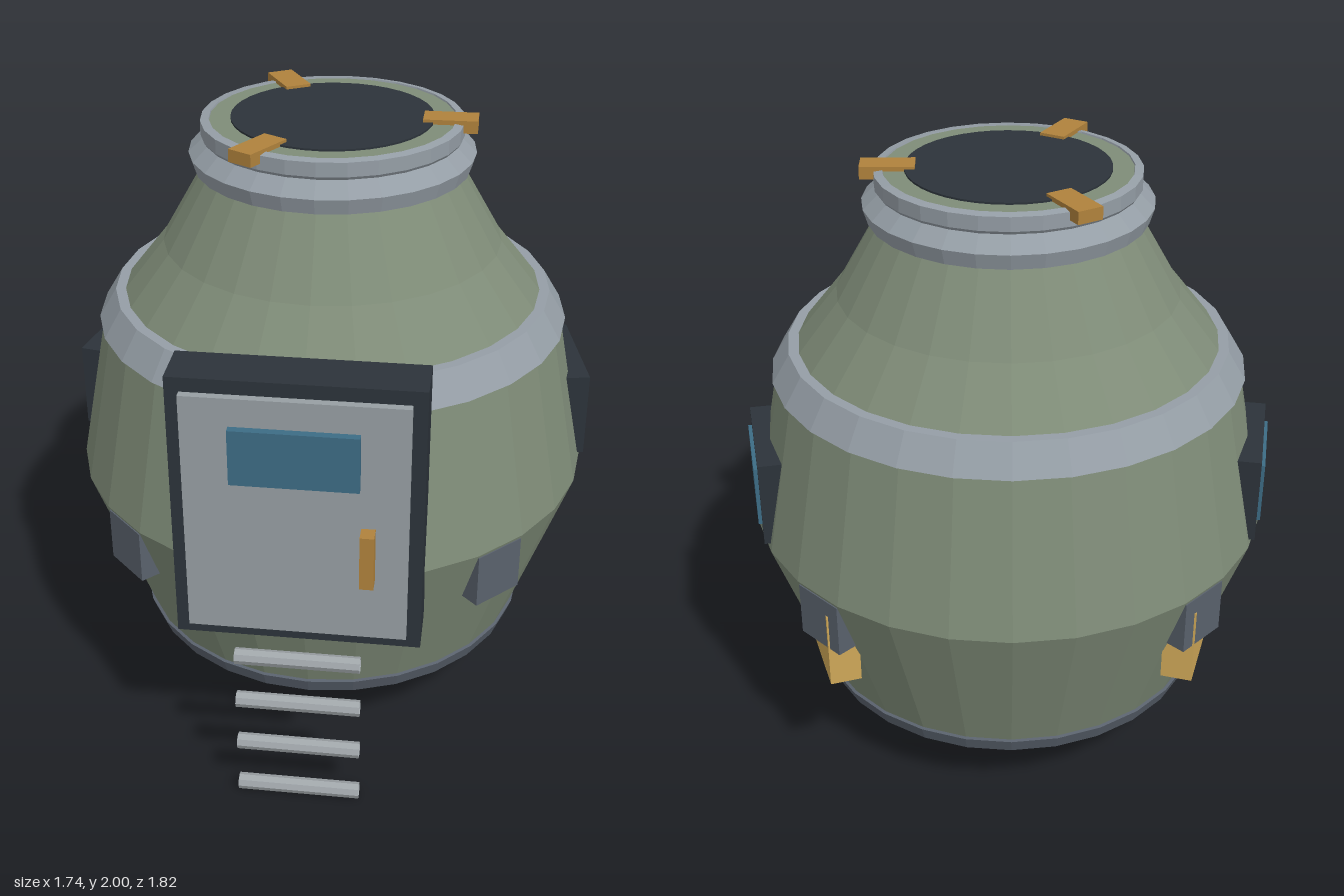
import * as THREE from 'three';

const AXIS_Z = -0.055; // centre line of the round hull
const SIDES = 28;

function paint(name, color) {
  const m = new THREE.MeshStandardMaterial({ color });
  m.name = name;
  return m;
}

export function createModel() {
  const green = paint('hull green', 0x7f8c78);
  const silver = paint('silver trim', 0x959ea6);
  const steel = paint('dark steel', 0x59616c);
  const panelGrey = paint('door grey', 0x979fa3);
  const dark = paint('charcoal', 0x2c333a);
  const glass = paint('blue glass', 0x3d6c85);
  const bronze = paint('bronze', 0xb0823c);
  const gold = paint('gold', 0xcfa858);
  const black = paint('nozzle black', 0x171b1f);
  const rungMat = paint('rung metal', 0xa0a6aa);
  rungMat.side = THREE.DoubleSide;

  const model = new THREE.Group();
  model.name = 'descentCapsule';
  const hull = new THREE.Group();
  hull.name = 'hull';
  hull.position.z = AXIS_Z;
  model.add(hull);

  function add(parent, name, geometry, material, x = 0, y = 0, z = 0, turn = 0) {
    const mesh = new THREE.Mesh(geometry, material);
    mesh.name = name;
    mesh.position.set(x, y, z);
    mesh.rotation.y = turn;
    parent.add(mesh);
    return mesh;
  }
  const box = (w, h, d) => new THREE.BoxGeometry(w, h, d);

  // Faceted surface of revolution, profile listed from bottom to top
  function turned(profile) {
    const points = profile.map(([r, y]) => new THREE.Vector2(r, y));
    const g = new THREE.LatheGeometry(points, SIDES).toNonIndexed();
    g.computeVertexNormals();
    return g;
  }

  // Round hull and its rings
  add(hull, 'body', turned([
    [0, 0.08], [0.455, 0.08], [0.645, 0.222], [0.855, 0.82], [0.755, 1.33],
    [0.548, 1.59], [0.41, 1.83], [0.395, 1.985], [0, 1.985],
  ]), green);
  add(hull, 'lowerRing', turned([
    [0.62, 0.225], [0.656, 0.225], [0.674, 0.275], [0.66, 0.28],
  ]), steel);
  add(hull, 'shoulderRing', turned([
    [0.74, 1.33], [0.77, 1.33], [0.712, 1.425], [0.66, 1.425],
  ]), silver);
  add(hull, 'neckRing', turned([
    [0.4, 1.83], [0.44, 1.835], [0.455, 1.885], [0.408, 1.93],
    [0.415, 1.94], [0.415, 1.985], [0.388, 1.99], [0.385, 1.98],
  ]), silver);
  add(hull, 'topHatch', new THREE.CylinderGeometry(0.32, 0.32, 0.03, 40), dark, 0, 1.976, 0);
  add(hull, 'bottomNozzle', new THREE.CylinderGeometry(0.2, 0.2, 0.01, 24), black, 0, 0.081, 0);

  // Three latches around the hatch
  for (let i = 0; i < 3; i++) {
    const a = (i * Math.PI * 2) / 3;
    add(hull, 'hatchLatch', box(0.17, 0.04, 0.085), bronze,
      0.37 * Math.cos(a), 1.98, -0.37 * Math.sin(a), a);
  }

  // Four thruster blocks on the diagonals
  for (let i = 0; i < 4; i++) {
    const a = Math.PI / 4 + (i * Math.PI) / 2;
    add(hull, 'thrusterBlock', box(0.16, 0.18, 0.18), steel,
      0.77 * Math.cos(a), 0.72, -0.77 * Math.sin(a), a);
  }

  // Side windows and rear fins, mirrored
  for (const side of [1, -1]) {
    const port = new THREE.Group();
    port.name = side > 0 ? 'leftWindow' : 'rightWindow';
    port.rotation.y = side > 0 ? 0.19 : Math.PI - 0.19;
    add(port, 'windowFrame', box(0.08, 0.29, 0.395), dark, 0.805, 0.985, 0);
    add(port, 'windowPane', box(0.024, 0.205, 0.295), glass, 0.845, 0.988, 0);
    hull.add(port);

    add(hull, 'rearFin', box(0.1, 0.265, 0.34), gold, side * 0.576, 0.6225, -0.4575, side * 0.294);
  }

  // Front door
  const door = new THREE.Group();
  door.name = 'door';
  add(door, 'doorFrame', box(0.75, 0.89, 0.16), dark, 0, 1.06, 0.74);
  add(door, 'doorPanel', box(0.665, 0.8, 0.04), panelGrey, 0, 1.06, 0.825);
  add(door, 'doorWindow', box(0.38, 0.18, 0.04), glass, 0, 1.28, 0.85);
  add(door, 'doorHandle', box(0.042, 0.18, 0.05), bronze, 0.216, 0.975, 0.886);
  model.add(door);

  // Ladder rungs below the door
  const rung = new THREE.CylinderGeometry(0.026, 0.026, 0.39, 8, 1, true).toNonIndexed();
  rung.rotateZ(Math.PI / 2);
  rung.computeVertexNormals();
  for (let i = 0; i < 4; i++) {
    add(model, 'ladderRung', rung, rungMat, 0, 0.03 + i * 0.172, 0.842);
  }

  return model;
}
